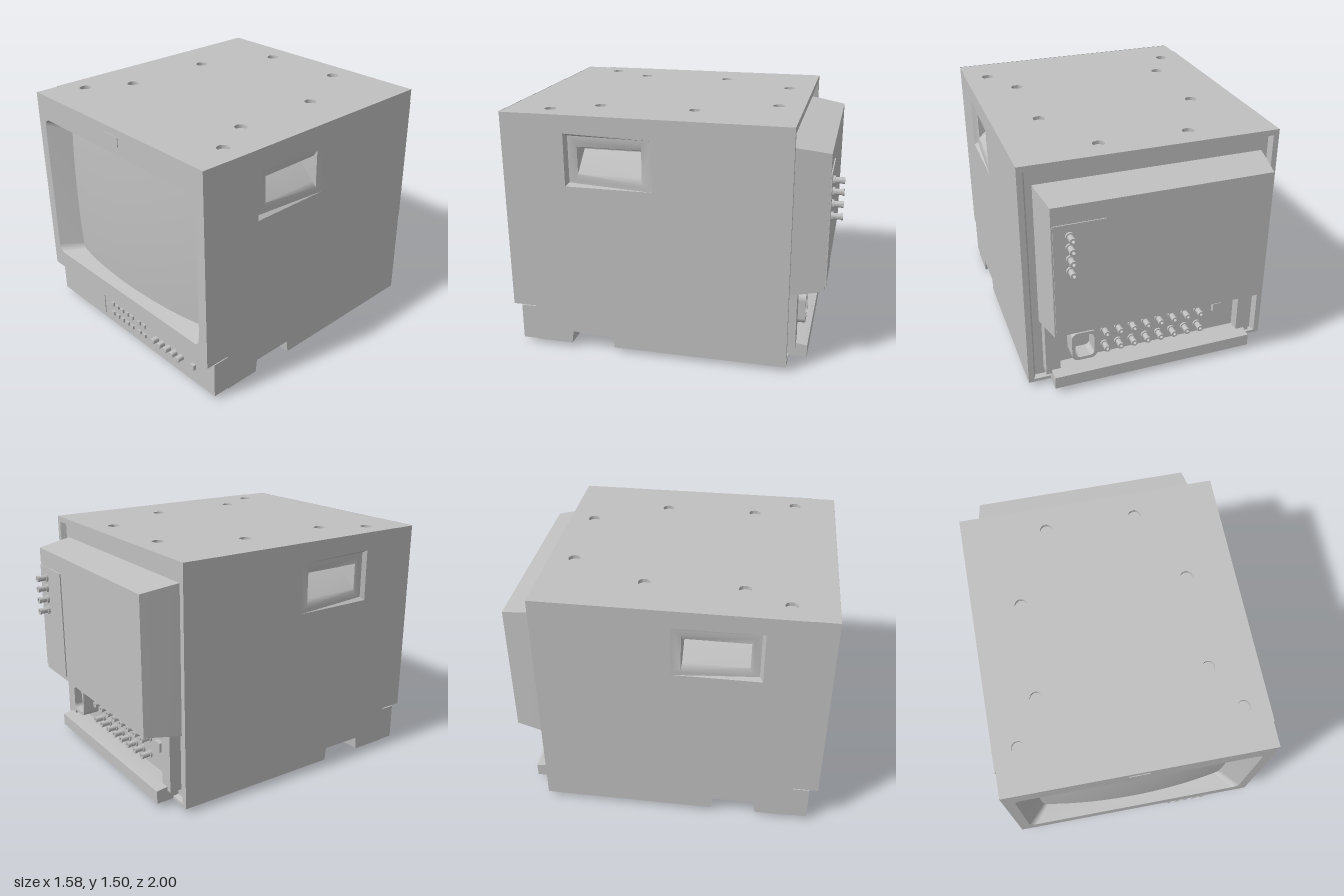
import * as THREE from 'three';
import { toCreasedNormals } from 'three/addons/utils/BufferGeometryUtils.js';

const grey = new THREE.MeshStandardMaterial({ color: 0xc0c0c0, side: THREE.DoubleSide });
grey.name = 'casing grey';

export function createModel() {
  const root = new THREE.Group();
  root.name = 'videoMonitor';

  const add = (name, geo, x = 0, y = 0, z = 0) => {
    const m = new THREE.Mesh(geo, grey);
    m.name = name;
    m.position.set(x, y, z);
    root.add(m);
    return m;
  };
  const box = (name, x0, x1, y0, y1, z0, z1) =>
    add(name, new THREE.BoxGeometry(x1 - x0, y1 - y0, z1 - z0), (x0 + x1) / 2, (y0 + y1) / 2, (z0 + z1) / 2);

  // Skin between rings of [x, y, z] points, with an optional end cap
  const loft = (name, rings, { closed = true, cap = false } = {}) => {
    const pos = [], n = rings[0].length;
    for (let r = 0; r + 1 < rings.length; r++) {
      for (let i = 0; i < (closed ? n : n - 1); i++) {
        const j = (i + 1) % n, [a, b, c, d] = [rings[r][i], rings[r][j], rings[r + 1][j], rings[r + 1][i]];
        pos.push(...a, ...b, ...c, ...a, ...c, ...d);
      }
    }
    const end = rings[rings.length - 1];
    if (cap) for (let i = 1; i + 1 < n; i++) pos.push(...end[0], ...end[i], ...end[i + 1]);
    const g = new THREE.BufferGeometry();
    g.setAttribute('position', new THREE.Float32BufferAttribute(pos, 3));
    g.computeVertexNormals();
    return add(name, toCreasedNormals(g, 0.6));
  };

  const poly = (pts, T = THREE.Shape) => new T(pts.map(([a, b]) => new THREE.Vector2(a, b)));
  const rect = (a0, a1, b0, b1) => [[a0, b0], [a1, b0], [a1, b1], [a0, b1]];
  const rounded = (a0, a1, b0, b1, r) => {
    const s = new THREE.Shape();
    s.absarc(a1 - r, b0 + r, r, -Math.PI / 2, 0);
    s.absarc(a1 - r, b1 - r, r, 0, Math.PI / 2);
    s.absarc(a0 + r, b1 - r, r, Math.PI / 2, Math.PI);
    s.absarc(a0 + r, b0 + r, r, Math.PI, Math.PI * 1.5);
    s.closePath();
    return s;
  };
  // Flat sheet whose 2D outline is placed in space by a rule
  const sheet = (name, shape, place) => {
    const g = new THREE.ShapeGeometry(shape), p = g.attributes.position;
    for (let i = 0; i < p.count; i++) p.setXYZ(i, ...place(p.getX(i), p.getY(i)));
    g.computeVertexNormals();
    return add(name, g);
  };

  const W = 0.79, B = 0.03, T = 1.5, ZB = -0.73, ZF = 0.85;
  const feet = [];
  for (const [x, z] of [[0.275, -0.575], [0.5, -0.11], [0.5, 0.47], [0.643, 0.735]]) feet.push([x, z], [-x, z]);

  // Top sheet with locating sockets for stacking
  const top = poly(rect(-W, W, ZB, ZF));
  for (const [x, z] of feet) top.holes.push(new THREE.Path().absarc(x, z, 0.037, 0, Math.PI * 2));
  sheet('topPanel', top, (x, z) => [x, T, z]);

  const lathe = (pts, n = 24) => new THREE.LatheGeometry(pts.map(([a, b]) => new THREE.Vector2(a, b)), n);
  const socket = toCreasedNormals(lathe([[0.037, 0], [0.037, -0.022], [0, -0.022]]), 0.6);
  const foot = toCreasedNormals(lathe([[0, 0], [0.03, 0], [0.033, 0.008], [0.04, B]]), 0.6);
  for (const [x, z] of feet) {
    add('stackingSocket', socket, x, T, z);
    add('foot', foot, x, 0, z);
  }

  // Bottom sheet with side notches and two small slots
  const N0 = 0.34, N1 = 0.62, NX = 0.67;
  const bottom = poly([[-W, ZB], [W, ZB], [W, N0], [NX, N0], [NX, N1], [W, N1], [W, ZF],
    [-W, ZF], [-W, N1], [-NX, N1], [-NX, N0], [-W, N0]]);
  for (const s of [-1, 1]) bottom.holes.push(poly(rect(s * 0.47 - 0.08, s * 0.47 + 0.08, -0.39, -0.32), THREE.Path));
  sheet('bottomPanel', bottom, (x, z) => [x, B, z]);

  for (const s of [-1, 1]) {
    // Side wall
    const side = poly([[ZB, B], [N0, B], [N0 + 0.01, 0.11], [N1 - 0.01, 0.11], [N1, B], [ZF, B], [ZF, T], [ZB, T]]);
    side.holes.push(poly(rect(0.08, 0.61, 1.07, 1.39), THREE.Path));
    sheet('sidePanel', side, (z, y) => [s * W, y, z]);

    // Carrying grip: ramped dish, frame and wedge pocket
    const ring = (z0, z1, y0, y1, x0, x1 = x0) =>
      [[s * x0, y0, z0], [s * x1, y0, z1], [s * x1, y1, z1], [s * x0, y1, z0]];
    loft('carryGrip', [
      ring(0.08, 0.61, 1.07, 1.39, W),
      ring(0.09, 0.59, 1.09, 1.375, W - 0.002, W - 0.022),
      ring(0.14, 0.55, 1.11, 1.35, W - 0.004, W - 0.02),
      ring(0.145, 0.535, 1.145, 1.31, W - 0.025),
      ring(0.145, 0.535, 1.265, 1.27, W - 0.15),
    ], { cap: true });

    // Notch in the lower edge
    const notch = x => [[s * x, B, N0], [s * x, 0.11, N0 + 0.01], [s * x, 0.11, N1 - 0.01], [s * x, B, N1]];
    loft('sideNotch', [notch(W), notch(NX)], { closed: false, cap: true });

    // Bottom slot
    const slot = (a, b, y) => rect(a, b, -0.39, -0.32).map(([x, z]) => [s * x, y, z]);
    loft('bottomSlot', [slot(0.39, 0.55, B), slot(0.39, 0.42, 0.08)], { cap: true });

    // Upright post beside the connectors
    box('rearPost', s * 0.64 - 0.045, s * 0.64 + 0.045, 0.1, 0.48, -0.77, -0.69);
  }

  // Rear rim and recessed back wall
  const rim = z => (w, b, t) => rect(-w, w, b, t).map(([x, y]) => [x, y, z]);
  loft('rearRim', [rim(ZB)(W, B, T), rim(ZB)(W - 0.035, B + 0.02, T - 0.035), rim(-0.695)(W - 0.05, B + 0.025, T - 0.05)], { cap: true });

  // Rear cover with tapered sides
  const coverRing = (w, b, t, z) => rect(-w, w, b, t).map(([x, y]) => [x, y, z]);
  loft('rearCover', [coverRing(0.7, 0.455, 1.365, -0.69), coverRing(0.695, 0.46, 1.36, ZB), coverRing(0.663, 0.49, 1.33, -0.925)], { cap: true });
  box('rearPlate', 0.35, 0.655, 0.52, 1.22, -0.932, -0.92);

  // Rear ledge with a sloped top
  const ledge = x => [[x, 0.035, -0.69], [x, 0.035, -0.84], [x, 0.115, -0.84], [x, 0.125, -0.77], [x, 0.125, -0.69]];
  loft('rearLedge', [ledge(-0.65), ledge(0.65)]);
  for (const x of [-0.65, 0.65]) sheet('ledgeEnd', poly(ledge(x).map(p => [p[2], p[1]])), (z, y) => [x, y, z]);

  // Round cable connectors, pointing backwards
  const plug = toCreasedNormals(lathe([[0.026, 0], [0.026, 0.014], [0.018, 0.014], [0.018, 0.055],
    [0.021, 0.055], [0.021, 0.068], [0.01, 0.068], [0.01, 0.04], [0, 0.04]], 16).rotateX(-Math.PI / 2), 0.6);
  for (const y of [0.93, 1.005, 1.08, 1.15]) add('rearConnector', plug, 0.56, y, -0.932);
  for (const y of [0.19, 0.3])
    for (let i = 0; i < 8; i++) add('panelConnector', plug, 0.29 - i * 0.09, y, -0.7);
  box('squarePort', -0.5, -0.44, 0.27, 0.33, -0.73, -0.69);
  box('connectorPanel', -0.595, 0.595, 0.12, 0.47, -0.702, -0.69);

  // Power inlet: an open rounded shell
  const inlet = rounded(0.37, 0.53, 0.19, 0.39, 0.04);
  inlet.holes.push(rounded(0.39, 0.51, 0.21, 0.37, 0.03));
  add('powerInlet', new THREE.ExtrudeGeometry(inlet, { depth: 0.12, bevelEnabled: false, curveSegments: 5 }), 0, 0, -0.81);

  // Front bezel
  const FW = 0.785, FB = 0.262;
  const face = poly(rect(-FW, FW, FB, T));
  face.holes.push(rounded(-0.72, 0.72, 0.38, 1.34, 0.05));
  sheet('bezelFace', face, (x, y) => [x, y, 1]);
  const edge = z => rect(-FW, FW, FB, T - 0.002).map(([x, y]) => [x, y, z]);
  loft('bezelEdge', [edge(1), edge(ZF - 0.01)], { cap: true });
  const opening = (a, b, c, r, z) => rounded(-a, a, b, c, r).getPoints(6).map(p => [p.x, p.y, z]);
  loft('screenSurround', [opening(0.72, 0.38, 1.34, 0.05, 1), opening(0.6, 0.405, 1.312, 0.04, 0.875)]);

  // Curved screen
  const screen = new THREE.PlaneGeometry(1.22, 0.92, 24, 12), sp = screen.attributes.position;
  for (let i = 0; i < sp.count; i++)
    sp.setZ(i, 0.945 - 0.055 * (sp.getX(i) / 0.61) ** 2 - 0.012 * (sp.getY(i) / 0.46) ** 2);
  screen.computeVertexNormals();
  add('screen', screen, 0, 0.859, 0);

  // Indicator lamp
  add('indicatorLamp', new THREE.ExtrudeGeometry(rounded(-0.068, 0.062, 1.392, 1.455, 0.012),
    { depth: 0.006, bevelEnabled: false, curveSegments: 4 }), 0, 0, 0.998);

  // Control panel below the screen
  const PZ = 0.948;
  box('controlPanel', -FW, FW, B, 0.256, ZF - 0.01, PZ);
  add('controlDoor', new THREE.ExtrudeGeometry(rounded(-0.7, -0.295, 0.06, 0.232, 0.01),
    { depth: 0.005, bevelEnabled: false, curveSegments: 3 }), 0, 0, PZ);
  for (const y of [0.18, 0.108])
    for (const x of [-0.203, -0.15, -0.1, -0.047, 0.004, 0.079, 0.13])
      box('pushButton', x - 0.014, x + 0.014, y - 0.013, y + 0.013, PZ - 0.01, PZ + 0.012);
  box('powerButton', 0.588, 0.622, 0.13, 0.164, PZ - 0.01, PZ + 0.02);
  const knob = toCreasedNormals(lathe([[0.02, 0], [0.019, 0.036], [0.016, 0.04], [0, 0.04]]).rotateX(Math.PI / 2), 0.6);
  for (let i = 0; i < 5; i++) add('knob', knob, 0.251 + i * 0.06, 0.147, PZ);

  return root;
}
